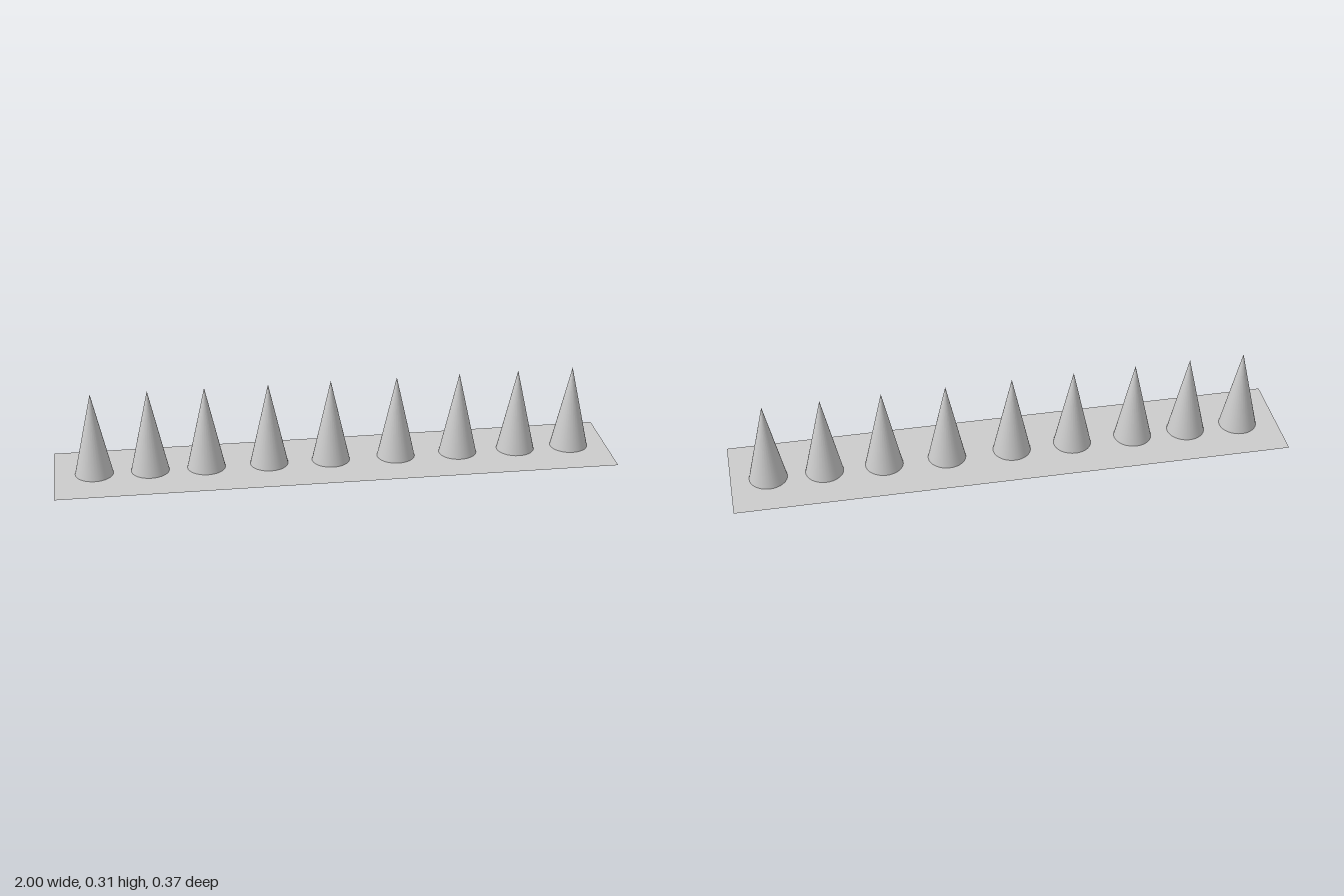
import * as THREE from 'three';

export function createModel() {
  const group = new THREE.Group();
  const material = new THREE.MeshStandardMaterial({ color: 0xcccccc, side: THREE.DoubleSide });

  // Thin base strip
  const base = new THREE.Mesh(new THREE.PlaneGeometry(2, 0.372).rotateX(-Math.PI / 2), material);
  base.name = 'baseStrip';
  group.add(base);

  // Row of slightly unevenly spaced spikes, open where they meet the base
  const radius = 0.068, height = 0.306;
  const spike = new THREE.ConeGeometry(radius, height, 32, 1, true).translate(0, height / 2, 0);
  const positions = [-0.858, -0.66, -0.46, -0.235, -0.012, 0.225, 0.452, 0.666, 0.866];
  positions.forEach((x, i) => {
    const mesh = new THREE.Mesh(spike, material);
    mesh.name = `spike${i + 1}`;
    mesh.position.set(x, 0, -0.006);
    group.add(mesh);
  });

  return group;
}
